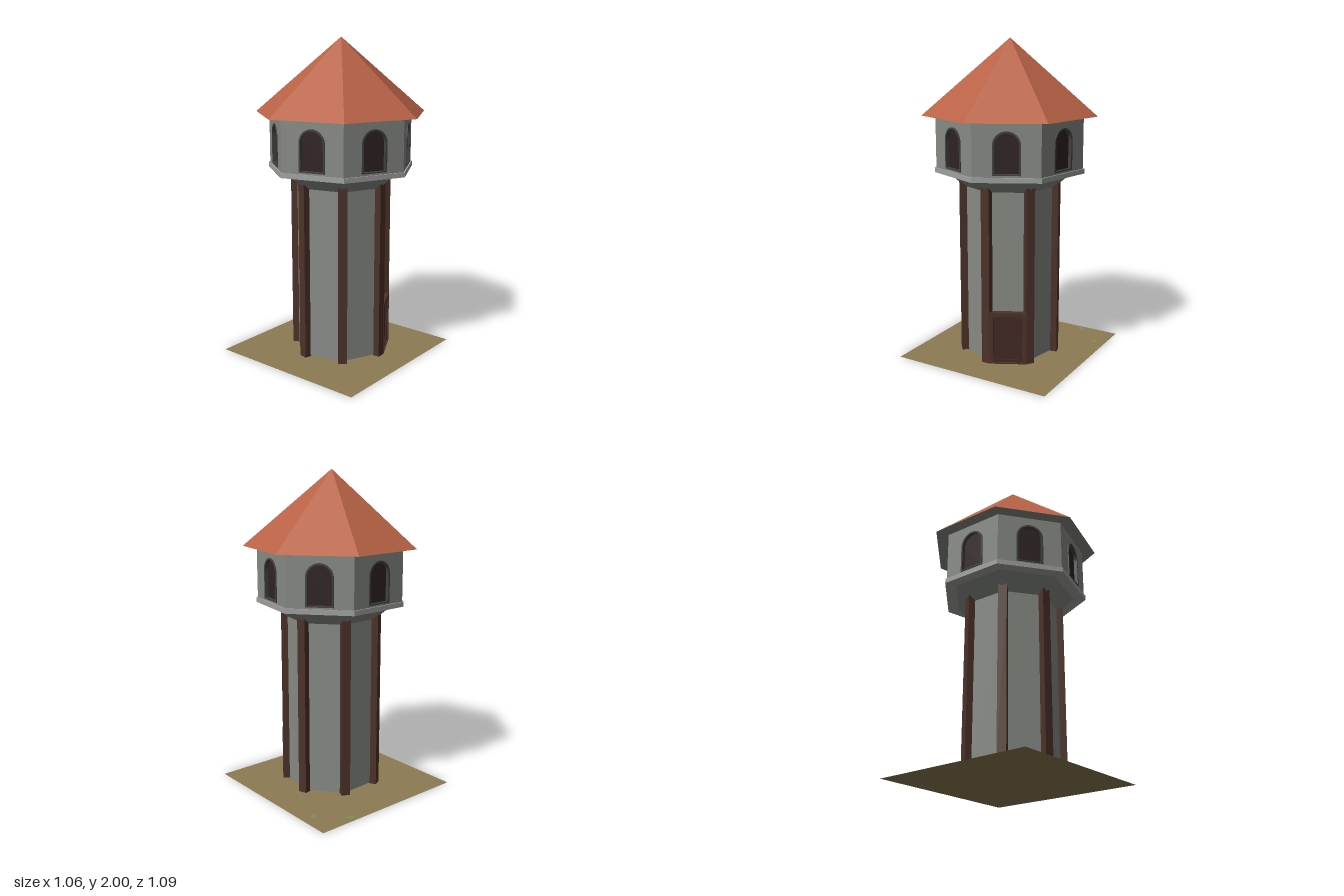
import * as THREE from 'three';

const SIDES = 7;
const STEP = (Math.PI * 2) / SIDES;
const START = 0.035; // angle of the first corner from +z
const APOTHEM = Math.cos(STEP / 2);

function material(name, color, extra = {}) {
  const m = new THREE.MeshStandardMaterial({ color, flatShading: true, ...extra });
  m.name = name;
  return m;
}

export function createModel() {
  const stone = material('stone', 0x878a85);
  const ledgeStone = material('paleStone', 0xa0a29f);
  const tile = material('roofTile', 0xb96246);
  const timber = material('timber', 0x4c3229);
  const doorWood = material('doorWood', 0x432a22);
  const dark = material('windowDark', 0x302324);
  const trim = material('windowTrim', 0x414240);
  const earth = material('earth', 0x8c7a53, { side: THREE.DoubleSide });
  const grass = material('grass', 0x7f9150, { side: THREE.DoubleSide });

  const model = new THREE.Group();
  model.name = 'tower';

  function add(parent, name, geometry, mat, x = 0, y = 0, z = 0) {
    const mesh = new THREE.Mesh(geometry, mat);
    mesh.name = name;
    mesh.position.set(x, y, z);
    parent.add(mesh);
    return mesh;
  }

  // Seven-sided frustum between two heights
  function prism(name, rTop, rBottom, y0, y1, mat, open = false) {
    const g = new THREE.CylinderGeometry(rTop, rBottom, y1 - y0, SIDES, 1, open, START);
    return add(model, name, g, mat, 0, (y0 + y1) / 2, 0);
  }

  // Group turned so that its local +z points outward at the given angle
  function radialGroup(name, angle) {
    const g = new THREE.Group();
    g.name = name;
    g.rotation.y = angle;
    model.add(g);
    return g;
  }

  function extrude(shape, depth) {
    return new THREE.ExtrudeGeometry(shape, { depth, bevelEnabled: false, curveSegments: 10 });
  }

  function rectangle(x0, y0, x1, y1, Kind = THREE.Shape) {
    const s = new Kind();
    s.moveTo(x0, y0);
    s.lineTo(x1, y0);
    s.lineTo(x1, y1);
    s.lineTo(x0, y1);
    s.closePath();
    return s;
  }

  // Round-headed opening
  function arch(half, bottom, spring, Kind = THREE.Shape) {
    const s = new Kind();
    s.moveTo(-half, bottom);
    s.lineTo(half, bottom);
    s.lineTo(half, spring);
    s.absarc(0, spring, half, 0, Math.PI, false);
    s.closePath();
    return s;
  }

  // Ground sheet with small grass patches
  const ground = new THREE.PlaneGeometry(1.045, 1.045).rotateX(-Math.PI / 2);
  add(model, 'ground', ground, earth, -0.002, 0, -0.027);
  [[0.275, -0.51, 0.02], [0.445, -0.36, 0.022], [-0.425, -0.36, 0.008], [0.38, 0.485, 0.009]]
    .forEach(([x, z, r]) => {
      const patch = new THREE.CircleGeometry(r, 7).rotateX(-Math.PI / 2);
      add(model, 'grassPatch', patch, grass, x, 0.003, z);
    });

  // Shaft, corbel, ledge and roof
  prism('shaft', 0.29, 0.29, 0.02, 1.12, stone);
  prism('corbel', 0.4, 0.29, 1.1, 1.195, stone);
  prism('ledge', 0.47, 0.47, 1.19, 1.22, ledgeStone);
  const roof = new THREE.ConeGeometry(0.545, 0.46, SIDES, 1, false, START);
  add(model, 'roof', roof, [tile, tile, stone], 0, 1.77, 0);

  // Timber posts on the shaft corners
  for (let i = 0; i < SIDES; i++) {
    const post = radialGroup('post', START + i * STEP);
    add(post, 'postBeam', new THREE.BoxGeometry(0.055, 1.12, 0.046), timber, 0, 0.575, 0.295);
  }

  // Upper room: one wall with an arched window per side
  const R = 0.46;
  const half = R * Math.sin(STEP / 2);
  const wallShape = rectangle(-half, 1.22, half, 1.54);
  wallShape.holes.push(arch(0.074, 1.235, 1.405, THREE.Path));
  const frameShape = arch(0.083, 1.232, 1.405);
  frameShape.holes.push(arch(0.072, 1.24, 1.405, THREE.Path));
  const wallGeo = extrude(wallShape, 0.03);
  const frameGeo = extrude(frameShape, 0.026);
  const paneGeo = new THREE.ShapeGeometry(arch(0.076, 1.232, 1.405), 10);
  for (let i = 0; i < SIDES; i++) {
    const side = radialGroup('upperSide', START + (i + 0.5) * STEP);
    const face = R * APOTHEM;
    add(side, 'upperWall', wallGeo, stone, 0, 0, face - 0.03);
    add(side, 'windowFrame', frameGeo, trim, 0, 0, face - 0.02);
    add(side, 'windowPane', paneGeo, dark, 0, 0, face - 0.016);
  }

  // Door with frame, leaf and raised border
  const door = radialGroup('door', START + STEP / 2);
  const wallFace = 0.29 * APOTHEM;
  const frame = rectangle(-0.118, 0.015, 0.118, 0.35);
  frame.holes.push(rectangle(-0.09, 0.022, 0.09, 0.326, THREE.Path));
  add(door, 'doorFrame', extrude(frame, 0.04), timber, 0, 0, wallFace - 0.002);
  add(door, 'doorLeaf', new THREE.BoxGeometry(0.19, 0.31, 0.02), doorWood, 0, 0.175, wallFace + 0.01);
  const border = rectangle(-0.088, 0.024, 0.088, 0.324);
  border.holes.push(rectangle(-0.07, 0.04, 0.07, 0.308, THREE.Path));
  add(door, 'doorBorder', extrude(border, 0.01), doorWood, 0, 0, wallFace + 0.019);

  return model;
}
